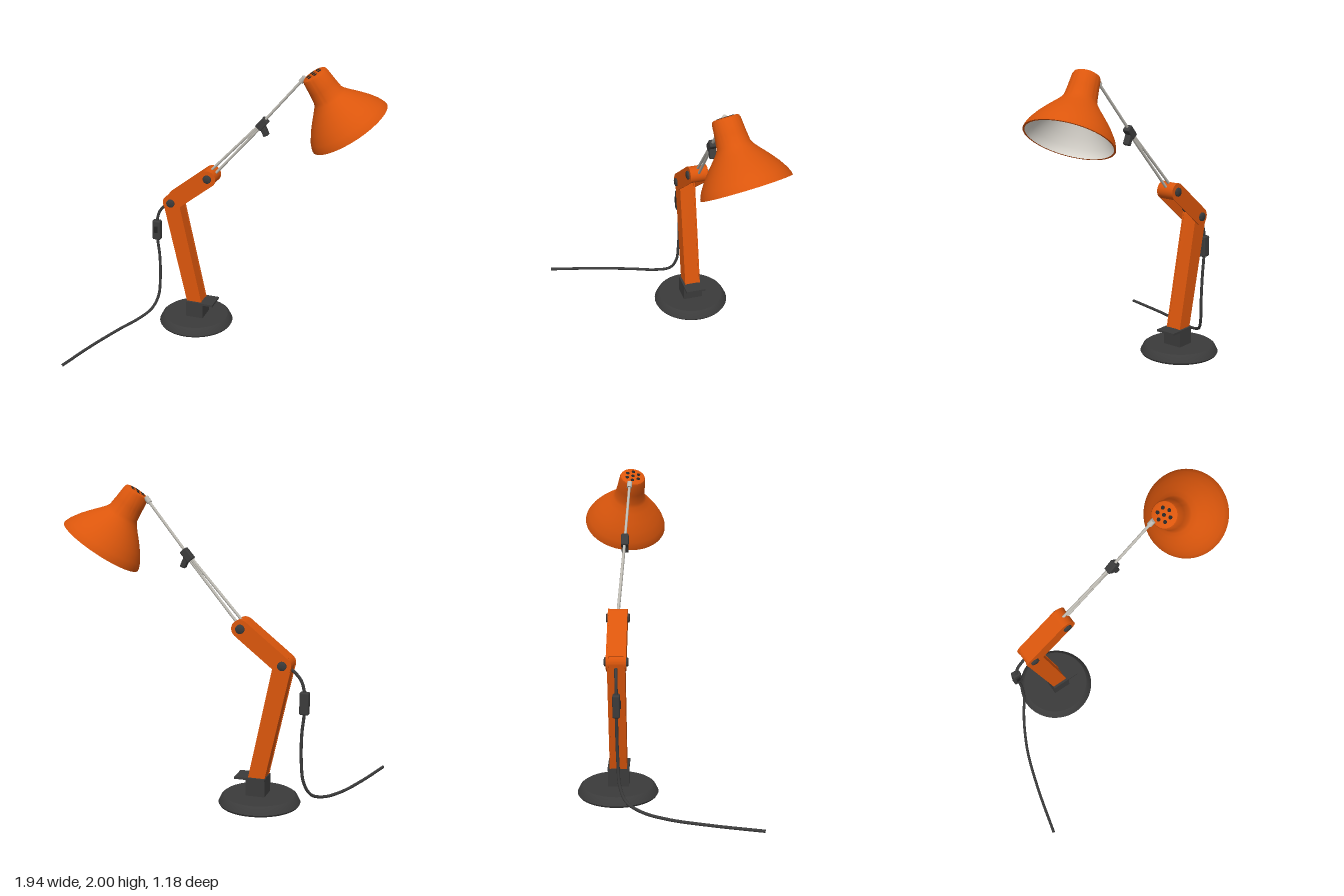
import * as THREE from 'three';
import { toCreasedNormals } from 'three/addons/utils/BufferGeometryUtils.js';
import { RoundedBoxGeometry } from 'three/addons/geometries/RoundedBoxGeometry.js';

const V = (x, y, z) => new THREE.Vector3(x, y, z);
const material = (name, color) => {
  const m = new THREE.MeshStandardMaterial({ color });
  m.name = name;
  return m;
};

export function createModel() {
  const lamp = new THREE.Group();
  lamp.name = 'deskLamp';
  const orange = material('orange paint', 0xdb560c);
  const dark = material('dark plastic', 0x3b3b3b);
  const black = material('black', 0x242424);
  const steel = material('steel', 0xbfbcb4);
  const white = material('white enamel', 0xe4e0d8);

  const add = (name, geometry, mat, x = 0, y = 0, z = 0, parent = lamp) => {
    const mesh = new THREE.Mesh(geometry, mat);
    mesh.name = name;
    mesh.position.set(x, y, z);
    parent.add(mesh);
    return mesh;
  };
  const lathe = (pts, segments = 64) => toCreasedNormals(
    new THREE.LatheGeometry(pts.map(p => new THREE.Vector2(...p)), segments), 0.6);
  // Round bar between two points
  const bar = (name, a, b, r, mat) => {
    const mid = a.clone().add(b).multiplyScalar(0.5);
    const mesh = add(name, new THREE.CylinderGeometry(r, r, a.distanceTo(b), 16), mat, ...mid);
    mesh.quaternion.setFromUnitVectors(V(0, 1, 0), b.clone().sub(a).normalize());
    return mesh;
  };
  const cable = (name, pts, r = 0.01) => add(name, new THREE.TubeGeometry(
    new THREE.CatmullRomCurve3(pts.map(p => V(...p))), 80, r, 10), dark);

  const Z = -0.32; // plane of the arms
  const elbow = V(-0.495, 0.925, Z), wrist = V(-0.225, 1.14, Z);

  // Base, post and tongue plate
  add('base', lathe([[0, 0], [0.255, 0], [0.262, 0.012], [0.243, 0.05], [0.228, 0.061], [0, 0.064]]),
    dark, -0.34, 0, -0.325);
  add('post', new THREE.BoxGeometry(0.125, 0.12, 0.135), dark, -0.328, 0.115, Z);
  add('tonguePlate', new THREE.BoxGeometry(0.2, 0.014, 0.14), dark, -0.29, 0.174, Z);

  // Slab in the xy plane, centred at depth z
  const slab = (name, shape, thickness, z) => add(name, toCreasedNormals(
    new THREE.ExtrudeGeometry(shape, { depth: thickness, bevelEnabled: false, curveSegments: 20 }), 0.5),
    orange, 0, 0, z - thickness / 2);

  // Lower arm: flat foot, round top, slightly recessed core between two side plates
  const lowerShape = inset => {
    const s = new THREE.Shape();
    const r = 0.058 - inset;
    s.moveTo(-0.387 + inset, 0.18);
    s.lineTo(-0.278 - inset, 0.18);
    s.absarc(elbow.x, elbow.y, r, 0.21, Math.PI + 0.21, false);
    s.closePath();
    return s;
  };
  slab('lowerArmCore', lowerShape(0.004), 0.1, Z);
  for (const s of [-1, 1]) slab('lowerArmSide', lowerShape(0), 0.009, Z + s * 0.0505);

  // Upper arm: two rounded side plates, a top web and a solid end
  const u = wrist.clone().sub(elbow).normalize();
  const tilt = Math.atan2(u.y, u.x);
  const side = new THREE.Shape();
  side.absarc(wrist.x, wrist.y, 0.058, tilt - Math.PI / 2, tilt + Math.PI / 2, false);
  side.absarc(elbow.x, elbow.y, 0.058, tilt + Math.PI / 2, tilt + Math.PI * 1.5, false);
  side.closePath();
  for (const s of [-1, 1]) slab('upperArmSide', side, 0.007, Z + s * 0.0585);
  const mid = elbow.clone().add(wrist).multiplyScalar(0.5);
  const web = add('upperArmWeb', new THREE.BoxGeometry(elbow.distanceTo(wrist), 0.012, 0.112), orange,
    mid.x - u.y * 0.05, mid.y + u.x * 0.05, Z);
  web.rotation.z = tilt;
  const knuckle = add('upperArmEnd', new THREE.CylinderGeometry(0.056, 0.056, 0.112, 40), orange, ...wrist);
  knuckle.rotation.x = Math.PI / 2;

  // Pivot bolts
  for (const p of [elbow, wrist]) {
    for (const s of [-1, 1]) {
      const bolt = add('pivotBolt', lathe([[0, -0.01], [0.029, -0.01], [0.029, 0.006], [0.022, 0.01], [0, 0.01]], 24),
        dark, p.x, p.y, Z + s * 0.066);
      bolt.rotation.x = s * Math.PI / 2;
    }
  }

  // Paired rods joining at the clamp, then a single rod to the shade
  const clampPoint = V(0.152, 1.572, -0.288), rodTip = V(0.425, 1.908, -0.265);
  bar('lowerRod', V(-0.222, 1.18, Z), clampPoint.clone().add(V(-0.006, 0.005, 0)), 0.009, steel);
  bar('lowerRod', V(-0.2, 1.15, Z), clampPoint.clone().add(V(0.006, -0.006, 0)), 0.009, steel);
  bar('upperRod', V(0.05, 1.455, -0.297), rodTip, 0.009, steel);
  bar('rodTip', V(0.41, 1.89, -0.267), V(0.437, 1.923, -0.264), 0.017, steel);

  // Clamp with its thumb knob
  const clamp = add('clamp', new RoundedBoxGeometry(0.085, 0.05, 0.05, 2, 0.008), dark, ...clampPoint);
  clamp.rotation.z = 0.87;
  const knob = add('clampKnob', new RoundedBoxGeometry(0.036, 0.085, 0.045, 2, 0.008), dark, 0.165, 1.532, -0.288);
  knob.rotation.z = 0.42;

  // Shade: local origin at the top of the neck, opening along -y
  const shade = new THREE.Group();
  shade.name = 'shade';
  const neckTop = V(0.499, 1.957, -0.245);
  shade.position.copy(neckTop);
  shade.quaternion.setFromUnitVectors(V(0, -1, 0), V(0.735, 1.595, -0.31).sub(neckTop).normalize());
  lamp.add(shade);
  const profile = [[0.28, -0.428], [0.277, -0.412], [0.262, -0.377], [0.226, -0.322], [0.185, -0.271],
    [0.142, -0.222], [0.114, -0.188], [0.102, -0.165], [0.094, -0.1], [0.087, -0.02], [0.081, -0.006], [0.07, 0]];
  add('shadeShell', lathe([[0.268, -0.428], ...profile, [0, 0.001]]), orange, 0, 0, 0, shade);
  const inner = profile.slice(0, 9).map(([r, y]) => [r - 0.012, y]).reverse();
  add('shadeLining', lathe([[0, -0.1], ...inner]), white, 0, 0, 0, shade);
  add('bulb', new THREE.SphereGeometry(0.07, 32, 24), white, 0, -0.25, 0, shade);
  add('bulbSocket', new THREE.CylinderGeometry(0.04, 0.045, 0.1, 24), white, 0, -0.15, 0, shade);

  // Vent holes on the neck cap
  for (let i = 0; i < 7; i++) {
    const r = i ? 0.043 : 0, a = i * Math.PI / 3;
    add('vent', new THREE.CylinderGeometry(0.012, 0.012, 0.004, 16), black,
      r * Math.cos(a), 0.001, r * Math.sin(a), shade);
  }

  // Power cable and inline switch
  cable('armCable', [[-0.46, 0.96, Z], [-0.4, 0.975, Z + 0.008], [-0.33, 1.05, Z - 0.008], [-0.23, 1.12, Z]]);
  cable('powerCable', [[-0.5, 0.92, Z], [-0.545, 0.89, Z], [-0.6, 0.83, -0.317], [-0.623, 0.75, -0.315],
    [-0.624, 0.62, -0.315], [-0.61, 0.48, -0.315], [-0.608, 0.3, -0.31], [-0.622, 0.16, -0.3],
    [-0.66, 0.07, -0.26], [-0.72, 0.028, -0.165], [-0.8, 0.013, 0.0], [-0.885, 0.011, 0.26], [-0.968, 0.011, 0.587]]);
  add('switchBody', new RoundedBoxGeometry(0.06, 0.145, 0.046, 3, 0.01), dark, -0.625, 0.682, -0.316);
  add('switchRocker', new RoundedBoxGeometry(0.026, 0.05, 0.012, 2, 0.004), black, -0.625, 0.69, -0.292);

  return lamp;
}
